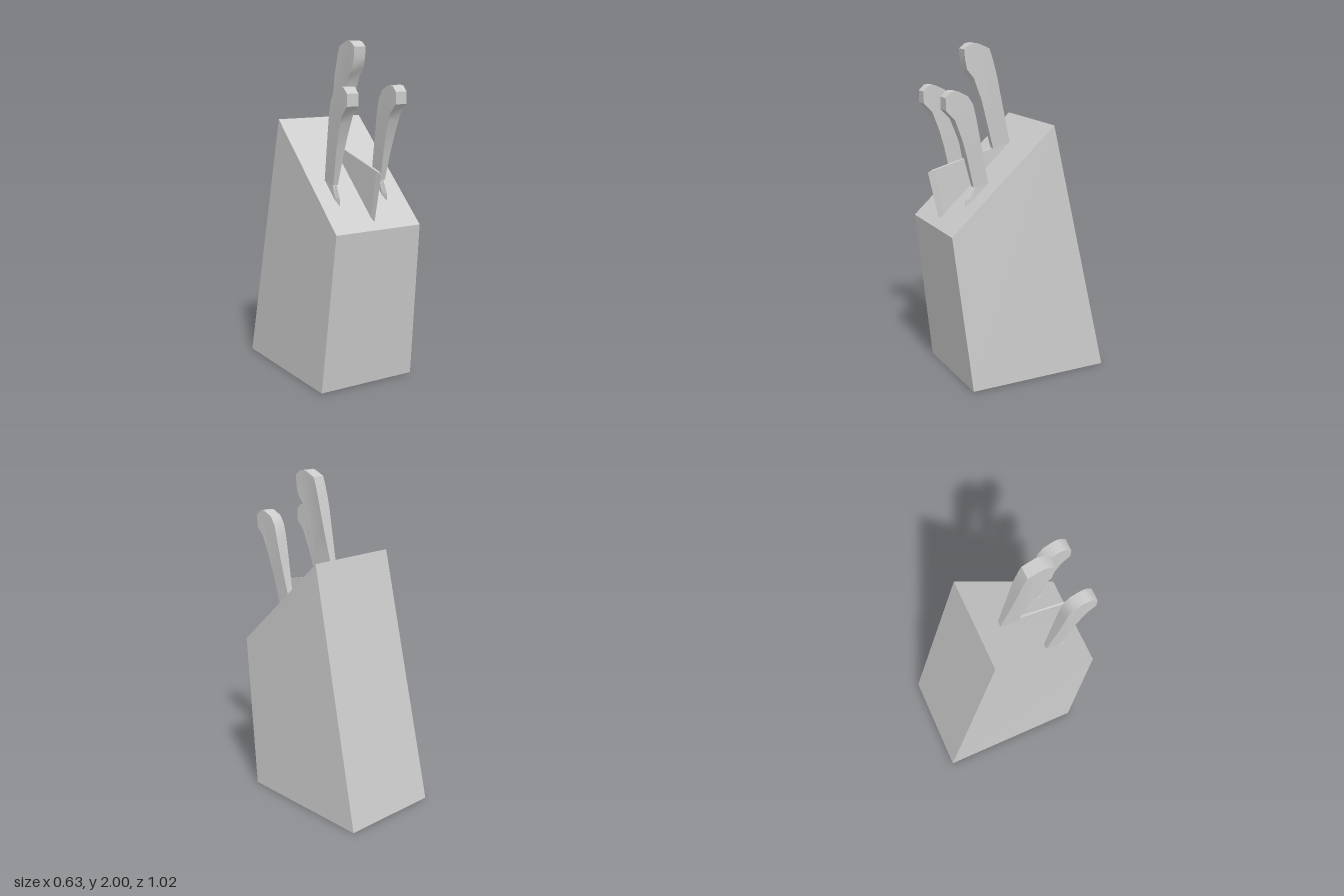
import * as THREE from 'three';
import { toCreasedNormals } from 'three/addons/utils/BufferGeometryUtils.js';

const grey = new THREE.MeshStandardMaterial({ color: 0xcccccc });
grey.name = 'light grey';

function mesh(name, geometry) {
  const m = new THREE.Mesh(geometry, grey);
  m.name = name;
  return m;
}

// Slanted block: a box whose eight corners are moved to the sheared profile.
function blockGeometry() {
  const g = new THREE.BoxGeometry(2, 2, 2).toNonIndexed();
  const p = g.attributes.position;
  for (let i = 0; i < p.count; i++) {
    const top = p.getY(i) > 0, front = p.getZ(i) > 0;
    const x = Math.sign(p.getX(i)) * (top ? 0.285 : 0.316);
    if (top) p.setXYZ(i, x, front ? 0.95 : 1.537, front ? 0.49 : -0.16);
    else p.setXYZ(i, x, 0, front ? 0.38 : -0.508);
  }
  g.computeVertexNormals();
  return g;
}

// Handle: side outline of [z, y] points, extruded across x and narrowed by height.
function handleGeometry(outline, widths) {
  const shape = new THREE.Shape(outline.map(([z, y]) => new THREE.Vector2(z, y)));
  const g = new THREE.ExtrudeGeometry(shape, { depth: 2, bevelEnabled: false });
  g.translate(0, 0, -1).rotateY(-Math.PI / 2);
  const p = g.attributes.position;
  const halfWidth = (y) => {
    for (let i = 1; i < widths.length; i++) {
      const [y0, w0] = widths[i - 1], [y1, w1] = widths[i];
      if (y <= y1) return THREE.MathUtils.lerp(w0, w1, Math.max(0, (y - y0) / (y1 - y0)));
    }
    return widths[widths.length - 1][1];
  };
  for (let i = 0; i < p.count; i++) p.setX(i, p.getX(i) * halfWidth(p.getY(i)));
  return toCreasedNormals(g, 0.75);
}

// Blade: rows from bottom to top of cutting edge, bevel and spine, each [z, y].
function bladeGeometry(rows, w) {
  const rings = rows.map(([edge, bevel, spine]) => [
    [0, edge[1], edge[0]],
    [w, bevel[1], bevel[0]], [w, spine[1], spine[0]],
    [-w, spine[1], spine[0]], [-w, bevel[1], bevel[0]],
  ]);
  const index = [], n = 5, last = (rings.length - 1) * n;
  for (let r = 0; r < rings.length - 1; r++) {
    for (let i = 0; i < n; i++) {
      const a = r * n + i, b = r * n + (i + 1) % n;
      index.push(a, b, b + n, a, b + n, a + n);
    }
  }
  for (let i = 1; i < n - 1; i++) {
    index.push(0, i + 1, i, last, last + i, last + i + 1);
  }
  let g = new THREE.BufferGeometry();
  g.setAttribute('position', new THREE.Float32BufferAttribute(rings.flat(2), 3));
  g.setIndex(index);
  g = g.toNonIndexed();
  g.computeVertexNormals();
  return g;
}

function knife(name, x, handle, blade) {
  const g = new THREE.Group();
  g.name = name;
  g.position.x = x;
  g.add(mesh('handle', handle), mesh('blade', blade));
  return g;
}

export function createModel() {
  const model = new THREE.Group();
  model.name = 'knifeBlock';
  model.add(mesh('block', blockGeometry()));

  // Large centre knife
  const largeHandle = handleGeometry([
    [0.098, 1.378], [-0.012, 1.405], [0.02, 1.54], [0.053, 1.68], [0.08, 1.8], [0.101, 1.88],
    [0.115, 1.925], [0.13, 1.967], [0.2, 1.997], [0.22, 2], [0.25, 1.995], [0.288, 1.967],
    [0.284, 1.91], [0.272, 1.852], [0.23, 1.803], [0.21, 1.75], [0.182, 1.68], [0.145, 1.55],
  ], [[1.38, 0.016], [1.54, 0.025], [1.68, 0.033], [1.8, 0.038], [2, 0.038]]);
  const largeBlade = bladeGeometry([
    [[0.42, 0.87], [0.39, 0.87], [0, 1.2]],
    [[0.45, 1.0], [0.42, 1.0], [0, 1.3]],
    [[0.51, 1.27], [0.475, 1.283], [0, 1.405]],
  ], 0.008);
  model.add(knife('centreKnife', -0.004, largeHandle, largeBlade));

  // Pair of small front knives
  const smallHandle = handleGeometry([
    [0.3, 1.195], [0.206, 1.208], [0.235, 1.34], [0.265, 1.48], [0.29, 1.6], [0.308, 1.676],
    [0.34, 1.724], [0.392, 1.75], [0.415, 1.755], [0.44, 1.752], [0.473, 1.72],
    [0.473, 1.65], [0.42, 1.596], [0.402, 1.55], [0.375, 1.48], [0.345, 1.38],
  ], [[1.2, 0.015], [1.36, 0.025], [1.48, 0.032], [1.6, 0.037], [1.76, 0.037]]);
  const smallBlade = bladeGeometry([
    [[0.335, 1.0], [0.3, 1.0], [0.22, 1.0]],
    [[0.347, 1.08], [0.315, 1.08], [0.22, 1.08]],
    [[0.349, 1.115], [0.31, 1.13], [0.22, 1.14]],
    [[0.298, 1.21], [0.28, 1.212], [0.215, 1.215]],
  ], 0.012);
  model.add(knife('leftKnife', 0.152, smallHandle, smallBlade));
  model.add(knife('rightKnife', -0.172, smallHandle, smallBlade));
  return model;
}
